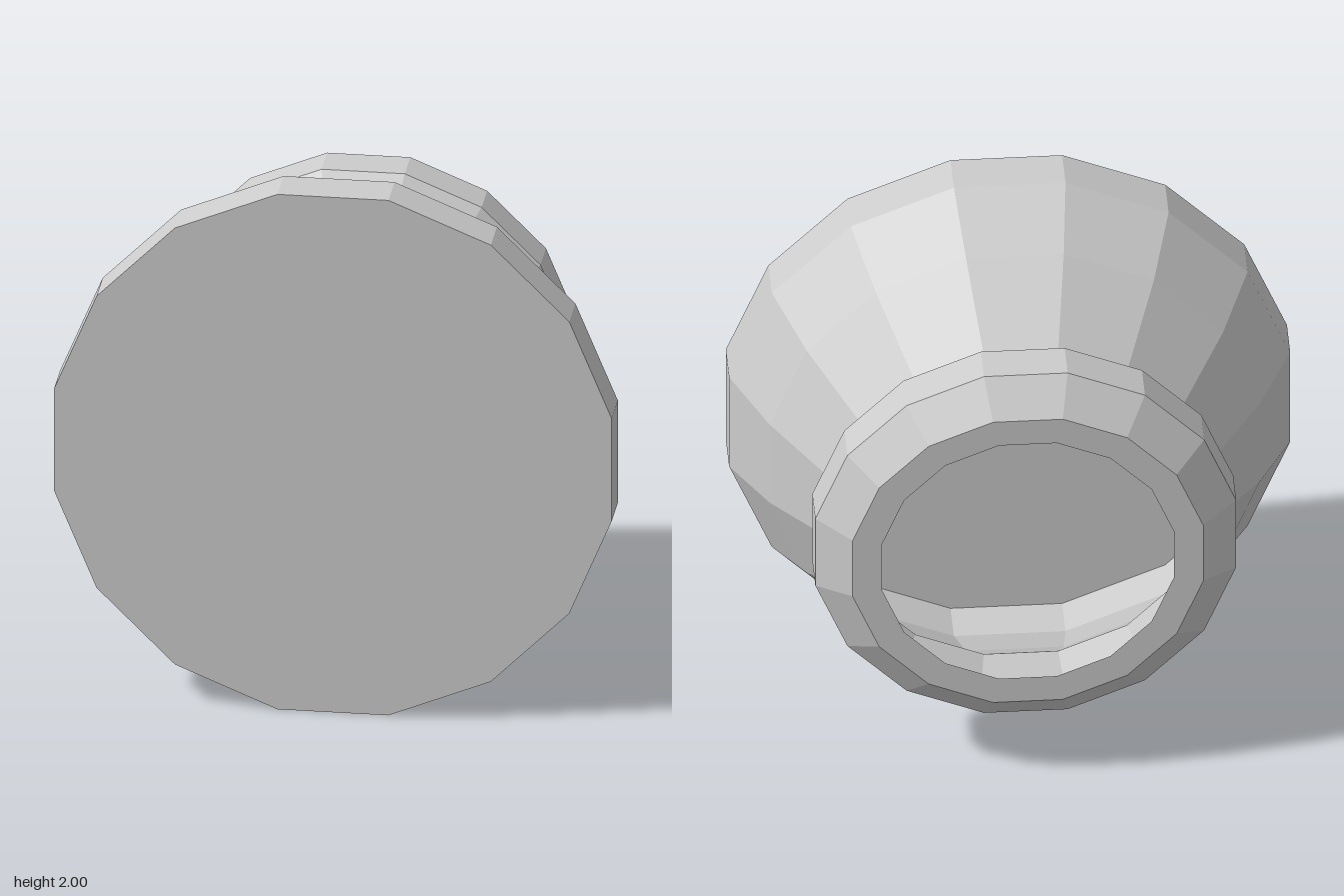
import * as THREE from 'three';

const SIDES = 16;
const HALF_STEP = Math.PI / SIDES;
// Profiles give distance to the flat sides; corners lie slightly further out
const CORNER = 1 / Math.cos(HALF_STEP);

export function createModel() {
  const model = new THREE.Group();
  model.name = 'knob';

  const grey = new THREE.MeshStandardMaterial({
    color: 0xcccccc, flatShading: true, side: THREE.DoubleSide,
  });
  grey.name = 'light grey';

  // Faceted shell turned around the z axis, from [radius, z] pairs
  function addShell(name, profile) {
    const points = profile.map(([r, z]) => new THREE.Vector2(r * CORNER, z));
    const geometry = new THREE.LatheGeometry(points, SIDES, HALF_STEP);
    geometry.rotateX(Math.PI / 2);
    const mesh = new THREE.Mesh(geometry, grey);
    mesh.name = name;
    mesh.position.y = 1;
    model.add(mesh);
  }

  // Flared body, hollow inside
  addShell('flaredBody', [[0.665, -0.19], [0.875, 0.11], [1, 0.365], [1, 0.528]]);

  // Bevelled collar with an inward lip around the open back
  addShell('collar', [
    [0.52, -0.528], [0.625, -0.528], [0.75, -0.422], [0.75, -0.275], [0.665, -0.19],
  ]);

  // Flat front face
  const face = new THREE.Mesh(new THREE.CircleGeometry(CORNER, SIDES, HALF_STEP), grey);
  face.name = 'frontFace';
  face.position.set(0, 1, 0.528);
  model.add(face);

  return model;
}
